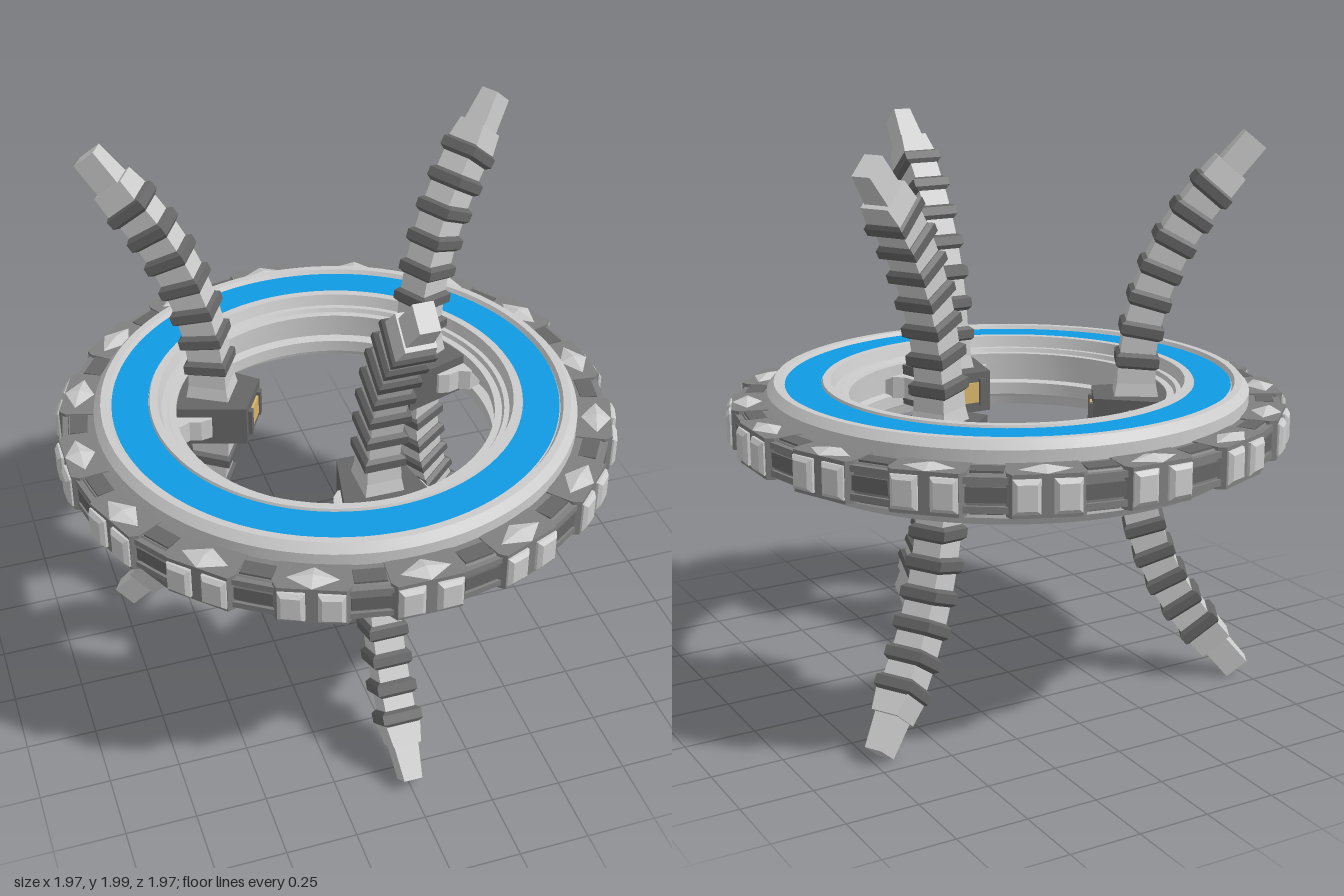
import * as THREE from 'three';
import { toCreasedNormals } from 'three/addons/utils/BufferGeometryUtils.js';

const grey = new THREE.MeshStandardMaterial({ color: 0xcccccc, flatShading: true });
const smooth = new THREE.MeshStandardMaterial({ color: 0xcccccc });
const dark = new THREE.MeshStandardMaterial({ color: 0x666666, flatShading: true });
const darkSmooth = new THREE.MeshStandardMaterial({ color: 0x808080 });
const blue = new THREE.MeshStandardMaterial({ color: 0x109ae4 });
const gold = new THREE.MeshStandardMaterial({ color: 0xd8b468 });

const MID = 0.977;

function add(parent, name, geometry, material, x = 0, y = 0, z = 0, rx = 0) {
  const mesh = new THREE.Mesh(geometry, material);
  mesh.name = name;
  mesh.position.set(x, y, z);
  mesh.rotation.x = rx;
  parent.add(mesh);
  return mesh;
}

// Closed ring whose upper half profile (outer to inner) is mirrored below
function ring(upper) {
  const lower = upper.map(([r, y]) => [r, -y]).reverse();
  const pts = [...upper, ...lower].map(([r, y]) => new THREE.Vector2(r, y));
  pts.push(pts[0].clone());
  return toCreasedNormals(new THREE.LatheGeometry(pts, 96), 0.4);
}

// Stack of rectangles, each [y, half width, half depth], capped at both ends
function stack(sections) {
  const rows = [[sections[0][0], 0, 0], ...sections, [sections.at(-1)[0], 0, 0]];
  const geo = new THREE.LatheGeometry(rows.map((s) => new THREE.Vector2(Math.SQRT2, s[0])), 4);
  geo.rotateY(Math.PI / 4);
  const p = geo.attributes.position;
  for (let i = 0; i < p.count; i++) {
    const s = rows[i % rows.length];
    p.setXYZ(i, p.getX(i) * s[1], s[0], p.getZ(i) * s[2]);
  }
  const flat = geo.toNonIndexed();
  flat.computeVertexNormals();
  return flat;
}

// Horizontal plate from a half outline of [x, z], mirrored across x
function plate(half, height) {
  const pts = [...half, ...half.map(([x, z]) => [-x, z]).reverse()];
  const shape = new THREE.Shape(pts.map(([x, z]) => new THREE.Vector2(x, z)));
  return new THREE.ExtrudeGeometry(shape, { depth: height, bevelEnabled: false })
    .translate(0, 0, -height / 2).rotateX(Math.PI / 2);
}

// Curved ribbed arm, leaning outward along +z
function makeArm() {
  const arm = new THREE.Group();
  const R = 1.05, first = 0.075, step = 0.104, count = 7;
  const rib = stack([[-0.028, 0.057, 0.062], [-0.016, 0.071, 0.075], [0.016, 0.071, 0.075], [0.028, 0.057, 0.062]]);
  const link = stack([[-0.058, 0.054, 0.062], [0.058, 0.054, 0.062]]);
  const place = (name, geo, mat, t) =>
    add(arm, name, geo, mat, 0, 0.12 + R * Math.sin(t), 0.45 + R * (1 - Math.cos(t)), t);
  add(arm, 'armBase', stack([[0.03, 0.075, 0.085], [0.12, 0.06, 0.068], [0.2, 0.056, 0.064]]), grey, 0, 0, 0.45);
  for (let i = 0; i < count; i++) {
    const t = first + i * step;
    place('armRib', rib, dark, t);
    if (i < count - 1) place('armLink', link, grey, t + step / 2);
  }
  // Tapered collar and narrow tip
  const end = first + (count - 1) * step;
  place('armCollar', stack([[0, 0.066, 0.064], [0.1, 0.05, 0.062]]), grey, end);
  place('armTip', stack([[0.08, 0.046, 0.046], [0.225, 0.033, 0.046]]), grey, end);
  return arm;
}

export function createModel() {
  const model = new THREE.Group();
  model.name = 'ringStation';
  const body = new THREE.Group();
  body.name = 'body';
  body.position.y = MID;
  model.add(body);

  // Main ring with recessed top and bottom and a grooved inner wall
  add(body, 'mainRing', ring([
    [0.845, 0.11], [0.82, 0.139], [0.795, 0.139], [0.785, 0.122], [0.655, 0.122],
    [0.65, 0.135], [0.622, 0.135], [0.61, 0.095], [0.592, 0.095], [0.585, 0.08],
    [0.56, 0.08], [0.56, 0.035], [0.595, 0.03],
  ]), smooth);
  for (const s of [1, -1]) {
    const panel = add(body, 'bluePanel', new THREE.RingGeometry(0.655, 0.782, 96), blue, 0, s * 0.127, 0, -s * Math.PI / 2);
    panel.name = s > 0 ? 'topBluePanel' : 'bottomBluePanel';
  }

  // Outer band with sixteen studded pads
  add(body, 'outerBand', ring([[0.948, 0.045], [0.935, 0.063], [0.83, 0.066]]), darkSmooth);
  const pad = plate([[0.115, 0.84], [0.125, 0.94], [0.11, 0.966]], 0.14);
  const button = stack([[0, 0.044, 0.056], [0.012, 0.044, 0.056], [0.024, 0.031, 0.042]]).rotateX(Math.PI / 2);
  const diamond = new THREE.ConeGeometry(1, 1, 4).translate(0, 0.5, 0).scale(0.085, 0.016, 0.052);
  const slot = new THREE.BoxGeometry(0.13, 0.05, 0.02);
  const inset = new THREE.BoxGeometry(0.105, 0.012, 0.06);
  const lip = new THREE.BoxGeometry(0.14, 0.022, 0.03);
  const padGrey = darkSmooth.clone();
  padGrey.flatShading = true;
  for (let i = 0; i < 16; i++) {
    const sector = new THREE.Group();
    sector.name = 'bandSector';
    sector.rotation.y = i * Math.PI / 8;
    body.add(sector);
    add(sector, 'bandPad', pad, padGrey);
    for (const s of [1, -1]) {
      const b = add(sector, 'padButton', button, grey, s * 0.064, 0, 0.962);
      b.rotation.y = s * 0.04;
      add(sector, 'padDiamond', diamond, grey, 0, s * 0.07, 0.913, s > 0 ? 0 : Math.PI);
    }
    const gap = new THREE.Group();
    gap.name = 'bandGap';
    gap.rotation.y = Math.PI / 16;
    sector.add(gap);
    add(gap, 'gapSlot', slot, dark, 0, 0, 0.945);
    for (const s of [1, -1]) {
      add(gap, 'gapInset', inset, dark, 0, s * 0.064, 0.9);
      add(gap, 'gapLip', lip, padGrey, 0, s * 0.047, 0.942);
    }
  }

  // Three hubs on the inner wall, each carrying an upper and a lower arm
  const hub = plate([[0.095, 0.3], [0.108, 0.36], [0.155, 0.585]], 0.15);
  const bracket = plate([[0.13, 0.42], [0.155, 0.45], [0.165, 0.49], [0.2, 0.515], [0.215, 0.565]], 0.08);
  for (let i = 0; i < 3; i++) {
    const unit = new THREE.Group();
    unit.name = 'armUnit';
    unit.rotation.y = i * Math.PI * 2 / 3;
    body.add(unit);
    add(unit, 'hubBracket', bracket, grey);
    add(unit, 'hub', hub, dark);
    add(unit, 'hubLamp', new THREE.BoxGeometry(0.09, 0.075, 0.012), gold, 0, 0, 0.298);
    for (const s of [1, -1]) {
      add(unit, 'hubPin', new THREE.BoxGeometry(0.025, 0.1, 0.03), dark, s * 0.06, 0, 0.302);
      const arm = makeArm();
      arm.name = s > 0 ? 'upperArm' : 'lowerArm';
      arm.rotation.z = s > 0 ? 0 : Math.PI;
      unit.add(arm);
    }
  }
  return model;
}
